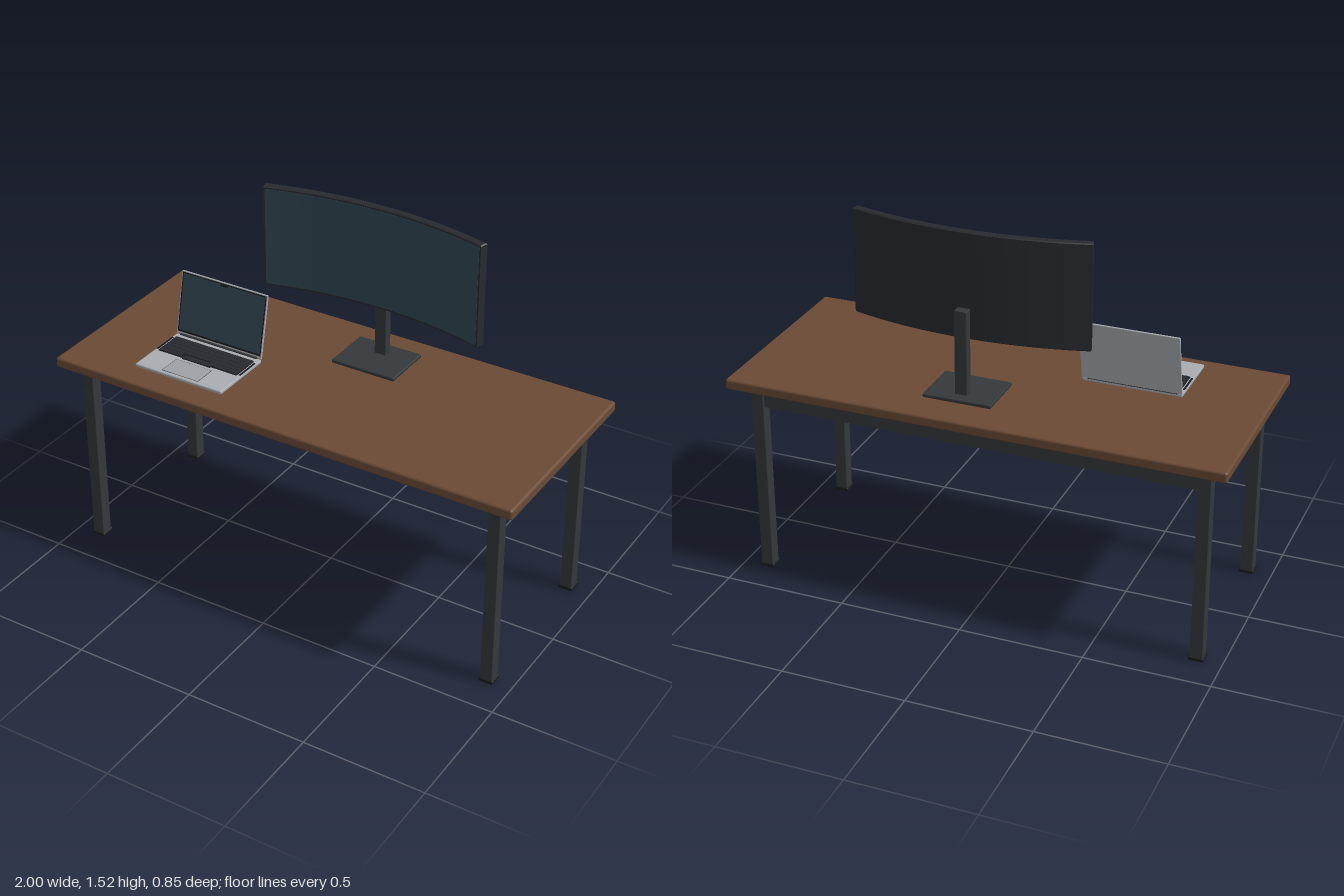
import * as THREE from 'three';
import { RoundedBoxGeometry } from 'three/addons/geometries/RoundedBoxGeometry.js';
import { toCreasedNormals } from 'three/addons/utils/BufferGeometryUtils.js';

const mat = (color) => new THREE.MeshStandardMaterial({ color });
const wood = mat(0x6b4a35);
const metal = mat(0x34383b);
const black = mat(0x1a1c1f);
const shell = mat(0x272a2f);
const glass = mat(0x324652);
const silver = mat(0xa9acb2);
const padGrey = mat(0x9da0a6);

function add(parent, name, geometry, material, x = 0, y = 0, z = 0) {
  const mesh = new THREE.Mesh(geometry, material);
  mesh.name = name;
  mesh.position.set(x, y, z);
  parent.add(mesh);
  return mesh;
}

// Box given by its extents along each axis; a radius rounds its edges
function box(parent, name, material, [x0, x1], [y0, y1], [z0, z1], radius = 0) {
  const size = [x1 - x0, y1 - y0, z1 - z0];
  const geometry = radius ? new RoundedBoxGeometry(...size, 2, radius) : new THREE.BoxGeometry(...size);
  return add(parent, name, geometry, material, (x0 + x1) / 2, (y0 + y1) / 2, (z0 + z1) / 2);
}

function group(parent, name) {
  const g = new THREE.Group();
  g.name = name;
  parent.add(g);
  return g;
}

// Upright slab curved about a vertical axis at z = axisZ
function curvedSlab(axisZ, rIn, rOut, halfAngle, height, bevel) {
  const a0 = Math.PI / 2 - halfAngle, a1 = Math.PI / 2 + halfAngle;
  const shape = new THREE.Shape();
  shape.absarc(0, -axisZ, rOut, a1, a0, true);
  shape.absarc(0, -axisZ, rIn, a0, a1, false);
  const geometry = new THREE.ExtrudeGeometry(shape, {
    depth: height - 2 * bevel, curveSegments: 24, bevelEnabled: bevel > 0,
    bevelThickness: bevel, bevelSize: bevel, bevelOffset: -bevel, bevelSegments: 1,
  });
  geometry.translate(0, 0, bevel).rotateX(-Math.PI / 2);
  return toCreasedNormals(geometry, 0.5);
}

function buildDesk(root) {
  const desk = group(root, 'desk');
  box(desk, 'tableTop', wood, [-1, 1], [0.806, 0.849], [-0.426, 0.426], 0.01);
  for (const sx of [-1, 1]) {
    for (const sz of [-1, 1]) {
      const x = sx * 0.9, z = sz * 0.337;
      box(desk, 'leg', metal, [x - 0.025, x + 0.025], [0.012, 0.806], [z - 0.025, z + 0.025], 0.003);
      box(desk, 'foot', black, [x - 0.03, x + 0.03], [0, 0.016], [z - 0.03, z + 0.03], 0.004);
    }
    // Side rails
    const x = sx * 0.9;
    box(desk, 'sideRail', metal, [x - 0.015, x + 0.015], [0.718, 0.773], [-0.315, 0.315]);
  }
  box(desk, 'backRail', metal, [-0.88, 0.88], [0.718, 0.773], [-0.352, -0.322]);
}

function buildMonitor(root) {
  const monitor = group(root, 'monitor');
  monitor.position.x = 0.0875;
  const r = 1.66, thick = 0.033, axisZ = -0.191 + r, half = 0.286;
  add(monitor, 'monitorShell', curvedSlab(axisZ, r, r + thick, half, 0.425, 0.004), shell, 0, 1.093, 0);
  add(monitor, 'monitorScreen', curvedSlab(axisZ, r - 0.001, r + 0.004, half - 0.005, 0.405, 0), glass, 0, 1.103, 0);
  // Stand
  box(monitor, 'standColumn', metal, [-0.025, 0.025], [0.87, 1.217], [-0.258, -0.221], 0.003);
  box(monitor, 'standBase', metal, [-0.138, 0.138], [0.861, 0.876], [-0.303, -0.088], 0.004);
}

function buildLaptop(root) {
  const laptop = group(root, 'laptop');
  laptop.position.set(-0.48, 0, 0);
  const deckY = 0.876;
  box(laptop, 'laptopBase', silver, [-0.2, 0.2], [0.861, deckY], [0.056, 0.336], 0.005);

  // Keyboard well, keys and space bar
  box(laptop, 'keyboardWell', black, [-0.184, 0.184], [deckY - 0.002, deckY + 0.001], [0.084, 0.207]);
  const rows = 5, cols = 14, pitchX = 0.364 / cols, pitchZ = 0.119 / rows;
  for (let i = 0; i < rows; i++) {
    const z = 0.086 + i * pitchZ;
    for (let j = 0; j < cols; j++) {
      if (i === rows - 1 && j > 3 && j < 9) continue;
      const x = -0.182 + j * pitchX;
      box(laptop, 'key', shell, [x + 0.001, x + pitchX - 0.001], [deckY, deckY + 0.005], [z + 0.001, z + pitchZ - 0.001]);
    }
  }
  box(laptop, 'spaceBar', shell, [-0.065, 0.065], [deckY, deckY + 0.005], [0.188, 0.213]);

  for (const s of [-1, 1]) {
    const x = s * 0.193;
    box(laptop, 'speakerGrille', black, [x - 0.004, x + 0.004], [deckY - 0.002, deckY + 0.001], [0.094, 0.2]);
  }
  // Touch pad with a thin dark seam
  box(laptop, 'touchPadSeam', metal, [-0.084, 0.084], [deckY - 0.002, deckY + 0.0004], [0.225, 0.322]);
  box(laptop, 'touchPad', padGrey, [-0.082, 0.082], [deckY - 0.002, deckY + 0.001], [0.227, 0.32]);

  // Lid leaning back from the hinge
  const lid = group(laptop, 'lid');
  lid.position.set(0, 0.877, 0.06);
  lid.rotation.x = -0.216;
  box(lid, 'lidShell', silver, [-0.2, 0.2], [0, 0.262], [-0.008, 0], 0.003);
  box(lid, 'lidBezel', black, [-0.195, 0.195], [0.012, 0.257], [-0.003, 0.0008]);
  box(lid, 'lidScreen', glass, [-0.19, 0.19], [0.02, 0.252], [-0.002, 0.0016]);
  box(lid, 'cameraNotch', black, [-0.017, 0.017], [0.245, 0.254], [-0.002, 0.0024]);
  const hinge = add(laptop, 'hinge', new THREE.CylinderGeometry(0.006, 0.006, 0.36, 12), metal, 0, 0.877, 0.059);
  hinge.rotation.z = Math.PI / 2;
}

export function createModel() {
  const root = new THREE.Group();
  root.name = 'deskSetup';
  buildDesk(root);
  buildMonitor(root);
  buildLaptop(root);
  return root;
}
